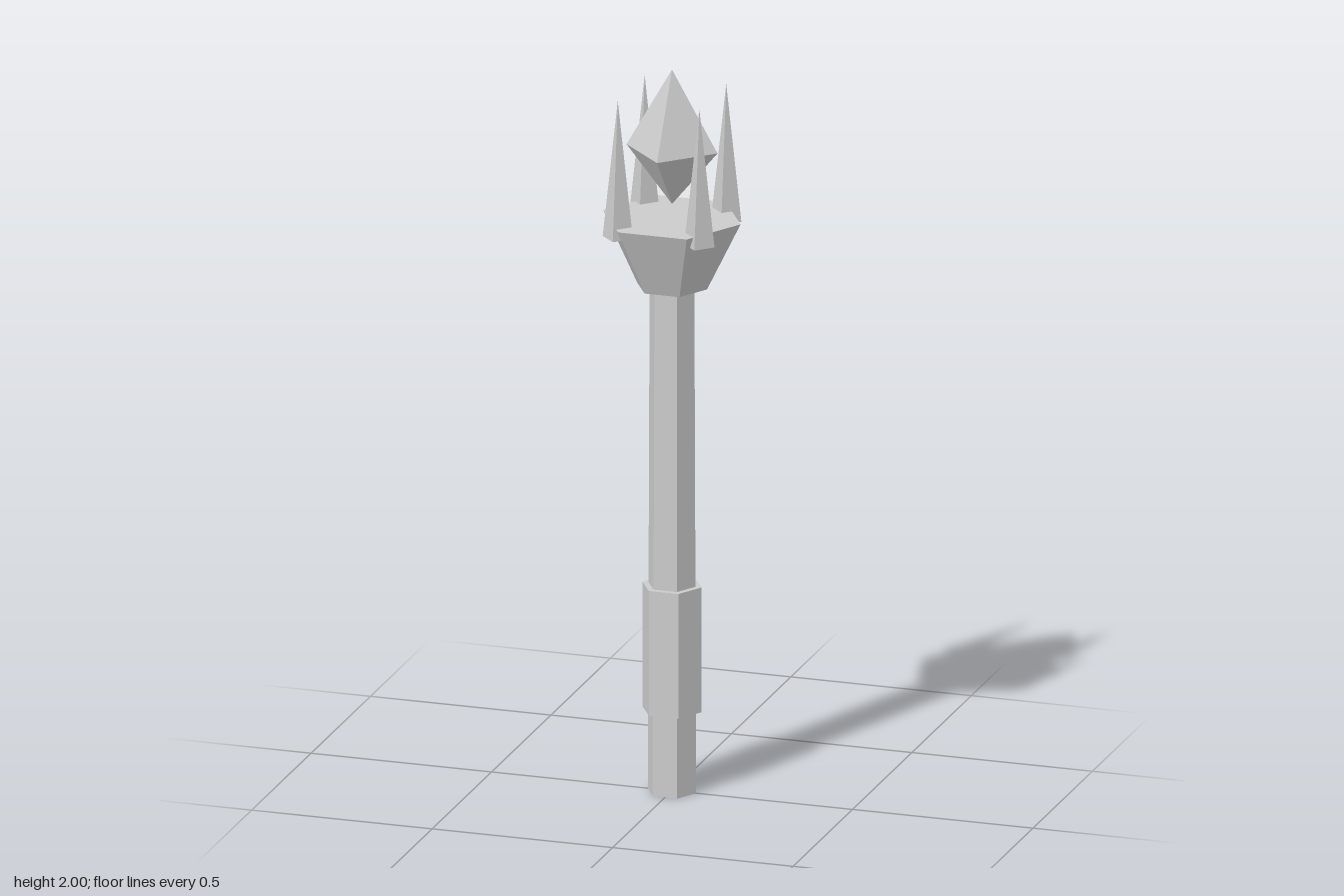
import * as THREE from 'three';

export function createModel() {
  const model = new THREE.Group();
  model.name = 'sceptre';
  const grey = new THREE.MeshStandardMaterial({ color: 0xcccccc });
  grey.name = 'plain grey';

  // Faceted frustum standing between two heights; a zero radius makes a point
  function frustum(name, sides, rBottom, rTop, y0, y1, { x = 0, z = 0, open = false } = {}) {
    const start = sides === 6 ? Math.PI / 6 : 0; // put corners on the x axis
    const geo = new THREE.CylinderGeometry(rTop, rBottom, y1 - y0, sides, 1, open, start).toNonIndexed();
    geo.computeVertexNormals();
    const mesh = new THREE.Mesh(geo, grey);
    mesh.name = name;
    mesh.position.set(x, (y0 + y1) / 2, z);
    return mesh;
  }

  // Six-sided shaft, grip sleeve and flared head
  model.add(
    frustum('shaft', 6, 0.067, 0.062, 0, 1.41),
    frustum('grip', 6, 0.082, 0.082, 0.226, 0.572),
    frustum('flaredHead', 6, 0.097, 0.19, 1.4, 1.59)
  );

  // Floating crystal: two four-sided pyramids base to base
  const crystal = new THREE.Group();
  crystal.name = 'crystal';
  crystal.add(
    frustum('crystalTop', 4, 0.126, 0, 1.78, 2, { open: true }),
    frustum('crystalBottom', 4, 0, 0.126, 1.627, 1.78, { open: true })
  );
  model.add(crystal);

  // Four spikes around the head
  for (const x of [-0.113, 0.113]) {
    for (const z of [-0.113, 0.113]) {
      model.add(frustum('spike', 4, 0.042, 0, 1.558, 1.937, { x, z }));
    }
  }
  return model;
}
